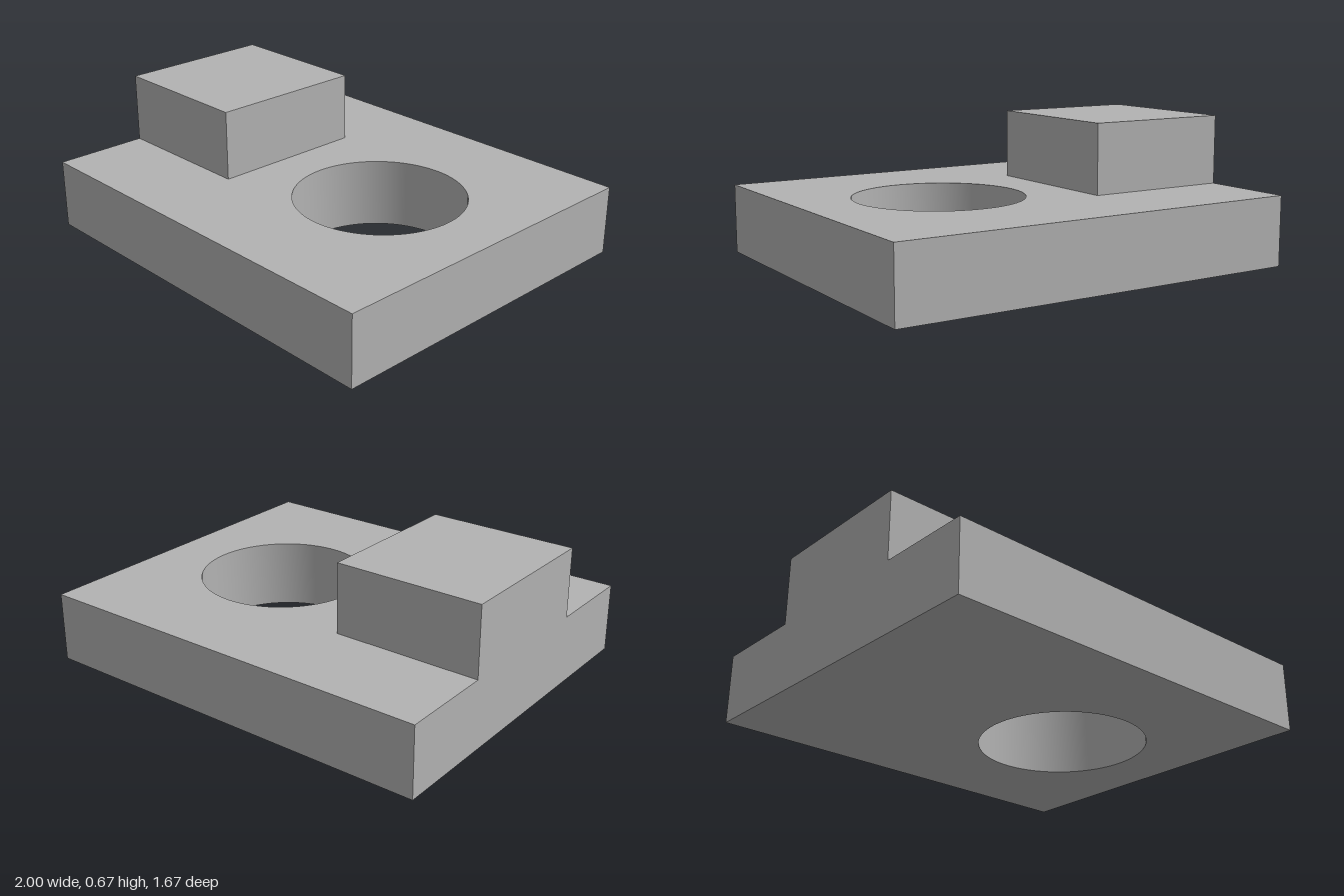
import * as THREE from 'three';
import { toCreasedNormals } from 'three/addons/utils/BufferGeometryUtils.js';

const U = 1 / 21; // design unit: the plate is 42 x 35 x 7 units
const WIDTH = 42 * U, DEPTH = 35 * U, THICK = 7 * U;

export function createModel() {
  const model = new THREE.Group();
  model.name = 'mountingPlate';

  const grey = new THREE.MeshStandardMaterial({ color: 0xb2b2b2 });
  grey.name = 'grey';

  // Base plate with a round through-hole
  const outline = new THREE.Shape();
  outline.moveTo(-WIDTH / 2, -DEPTH / 2);
  outline.lineTo(WIDTH / 2, -DEPTH / 2);
  outline.lineTo(WIDTH / 2, DEPTH / 2);
  outline.lineTo(-WIDTH / 2, DEPTH / 2);
  outline.closePath();
  const hole = new THREE.Path();
  hole.absarc(7 * U, 0, 8.4 * U, 0, Math.PI * 2, true);
  outline.holes.push(hole);

  const plateGeometry = toCreasedNormals(
    new THREE.ExtrudeGeometry(outline, { depth: THICK, bevelEnabled: false, curveSegments: 64 })
      .rotateX(-Math.PI / 2),
    Math.PI / 6
  );
  const plate = new THREE.Mesh(plateGeometry, grey);
  plate.name = 'basePlate';
  model.add(plate);

  // Raised block, flush with the plate's right end
  const block = new THREE.Mesh(new THREE.BoxGeometry(15 * U, THICK, 16 * U), grey);
  block.name = 'raisedBlock';
  block.position.set(-WIDTH / 2 + 7.5 * U, THICK * 1.5, 0);
  model.add(block);

  return model;
}
